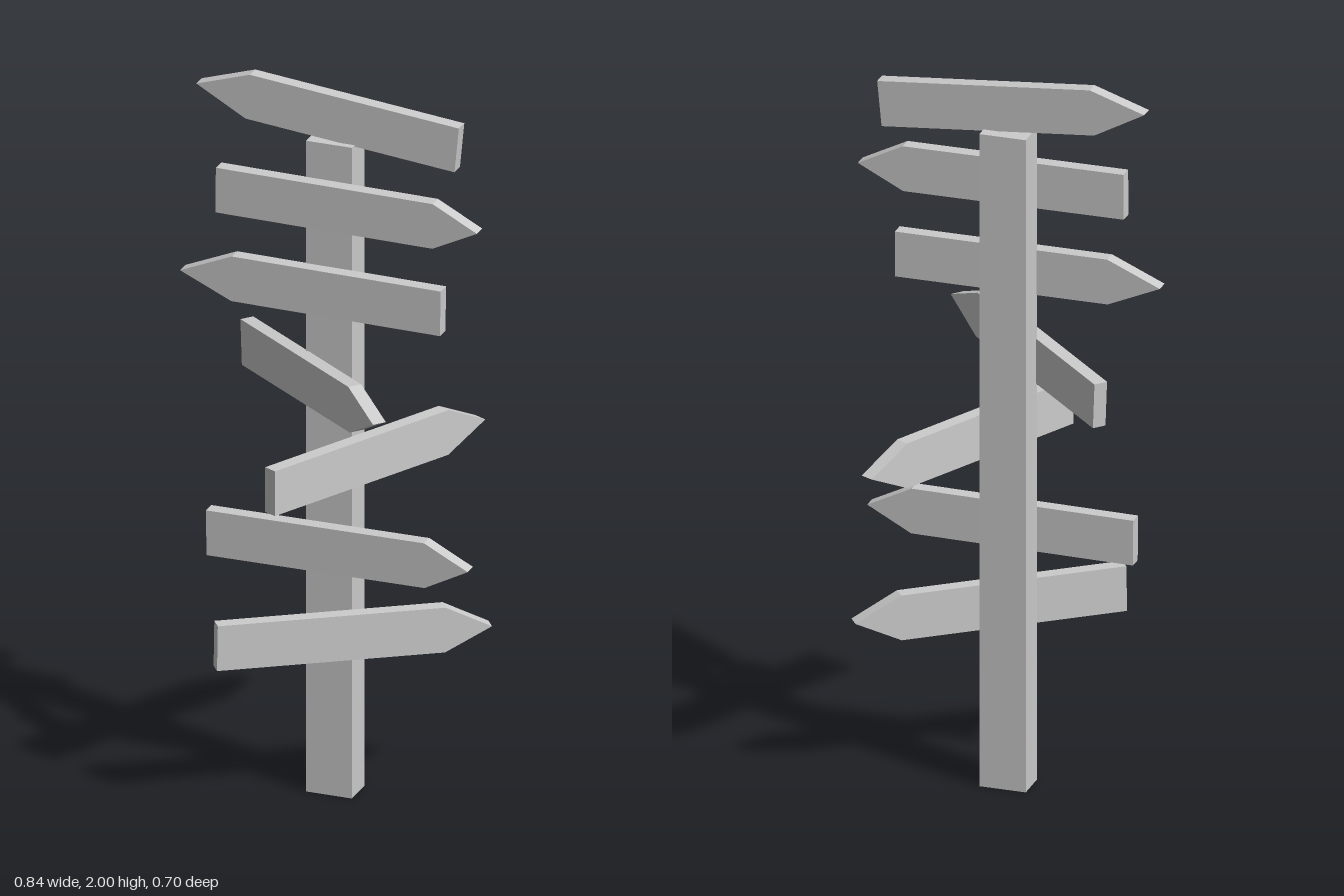
import * as THREE from 'three';

const material = new THREE.MeshStandardMaterial({ color: 0xcccccc, flatShading: true });
const HEIGHT = 0.127, THICK = 0.038;

// Arrow board running from the middle of its square end to its tip
function arrowBoard(name, endPoint, tipPoint, head) {
  const end = new THREE.Vector3(...endPoint);
  const along = new THREE.Vector3(...tipPoint).sub(end);
  const length = along.length(), h = HEIGHT / 2;
  const outline = new THREE.Shape([
    new THREE.Vector2(0, -h),
    new THREE.Vector2(length - head, -h),
    new THREE.Vector2(length, 0),
    new THREE.Vector2(length - head, h),
    new THREE.Vector2(0, h),
  ]);
  const geometry = new THREE.ExtrudeGeometry(outline, { depth: THICK, bevelEnabled: false });
  geometry.translate(0, 0, -THICK / 2);

  const board = new THREE.Mesh(geometry, material);
  board.name = name;
  along.normalize();
  const side = new THREE.Vector3().crossVectors(along, new THREE.Vector3(0, 1, 0)).normalize();
  const up = new THREE.Vector3().crossVectors(side, along);
  board.quaternion.setFromRotationMatrix(new THREE.Matrix4().makeBasis(along, up, side));
  board.position.copy(end);
  return board;
}

export function createModel() {
  const model = new THREE.Group();
  model.name = 'signpost';

  // Square post, slightly off centre
  const post = new THREE.Mesh(new THREE.BoxGeometry(0.128, 1.85, 0.09), material);
  post.name = 'post';
  post.position.set(-0.015, 0.925, -0.009);
  model.add(post);

  // Boards from top to bottom: square end, tip, length of the pointed head
  const boards = [
    [[0.337, 1.882, 0.002], [-0.396, 1.953, -0.007], 0.145],
    [[-0.319, 1.686, 0.052], [0.416, 1.68, 0.059], 0.125],
    [[0.313, 1.436, 0.058], [-0.42, 1.441, 0.049], 0.145],
    [[-0.316, 1.17, -0.149], [0.243, 1.217, 0.334], 0.135],
    [[-0.071, 0.966, 0.315], [0.26, 0.964, -0.345], 0.13],
    [[-0.345, 0.708, 0.053], [0.39, 0.714, 0.059], 0.122],
    [[-0.243, 0.48, 0.265], [0.36, 0.468, -0.16], 0.125],
  ];
  boards.forEach(([end, tip, head], i) => model.add(arrowBoard(`arrowBoard${i + 1}`, end, tip, head)));

  return model;
}
